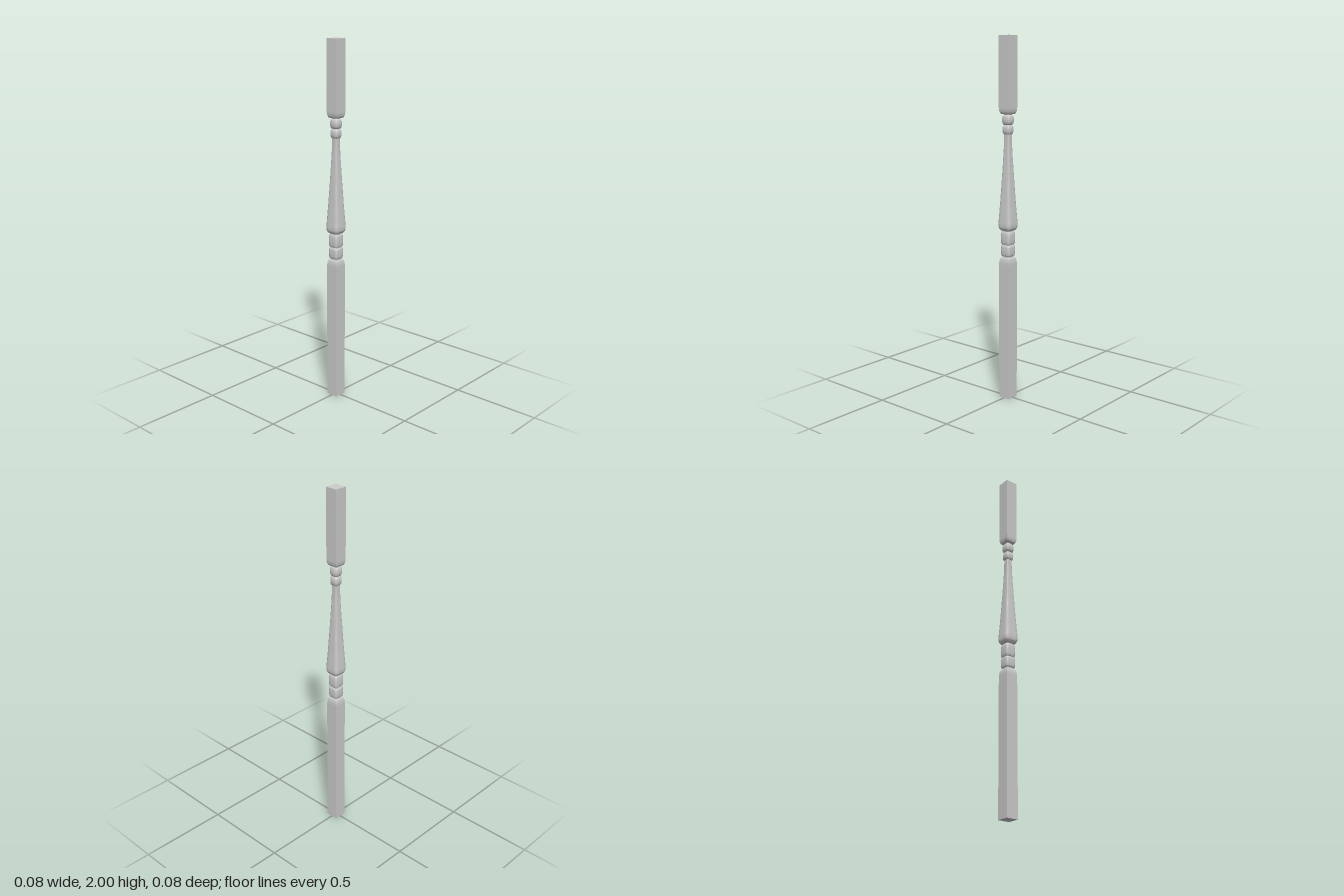
import * as THREE from 'three';
import { toCreasedNormals } from 'three/addons/utils/BufferGeometryUtils.js';

const material = new THREE.MeshStandardMaterial({ color: 0xcccccc });
const SIDES = 48;

// Loft of squircle rings; each row is [y, halfWidth, squareness exponent]
function loft(name, rows) {
  const pos = [], index = [];
  for (const [y, w, n] of rows) {
    for (let i = 0; i < SIDES; i++) {
      const a = (i / SIDES) * Math.PI * 2, c = Math.cos(a), s = Math.sin(a);
      const r = w / Math.pow(Math.abs(c) ** n + Math.abs(s) ** n, 1 / n);
      pos.push(r * c, y, r * s);
    }
  }
  for (let j = 0; j < rows.length - 1; j++) {
    for (let i = 0; i < SIDES; i++) {
      const k = (i + 1) % SIDES, a = j * SIDES + i, b = j * SIDES + k;
      index.push(a, a + SIDES, b, b, a + SIDES, b + SIDES);
    }
  }
  // end caps
  const top = (rows.length - 1) * SIDES;
  for (let i = 1; i < SIDES - 1; i++) {
    index.push(0, i, i + 1, top, top + i + 1, top + i);
  }
  const geo = new THREE.BufferGeometry();
  geo.setAttribute('position', new THREE.Float32BufferAttribute(pos, 3));
  geo.setIndex(index);
  const mesh = new THREE.Mesh(toCreasedNormals(geo, 0.7), material);
  mesh.name = name;
  return mesh;
}

// Smooth curve through a few profile points [y, halfWidth]
function smooth(points, n, steps) {
  const curve = new THREE.CatmullRomCurve3(points.map(([y, w]) => new THREE.Vector3(w, y, 0)), false, 'centripetal');
  return curve.getPoints(steps).map((p) => [p.y, p.x, n]);
}

// Rounded bead swelling from the neck width to its full width
function bead(name, y0, y1, neck, full, n, power) {
  const rows = [];
  for (let i = 0; i <= 14; i++) {
    const t = -Math.cos((i / 14) * Math.PI);
    const w = neck + (full - neck) * Math.pow(1 - Math.abs(t) ** power, 1 / power);
    rows.push([(y0 + y1) / 2 + (t * (y1 - y0)) / 2, w, n]);
  }
  return loft(name, rows);
}

function block(name, y0, y1) {
  const mesh = new THREE.Mesh(new THREE.BoxGeometry(0.07, y1 - y0, 0.07), material);
  mesh.position.y = (y0 + y1) / 2;
  mesh.name = name;
  return mesh;
}

// Curved shoulder from the square block (yBlock) down to the turned neck (yNeck)
function shoulder(name, yBlock, yNeck, wNeck) {
  const rows = [];
  for (let i = 0; i <= 8; i++) {
    const a = (i / 8) * (Math.PI / 2);
    rows.push([yBlock + (yNeck - yBlock) * Math.sin(a), wNeck + (0.035 - wNeck) * Math.cos(a), 60 - 6 * i]);
  }
  if (yNeck < yBlock) rows.reverse();
  return loft(name, rows);
}

export function createModel() {
  const group = new THREE.Group();
  group.name = 'baluster';

  // Square ends and their shoulders
  group.add(block('lowerBlock', 0, 0.77), block('upperBlock', 1.62, 2));
  group.add(shoulder('lowerShoulder', 0.77, 0.808, 0.025), shoulder('upperShoulder', 1.62, 1.588, 0.023));

  // Lower necks and beads
  group.add(loft('lowerNeck', [[0.80, 0.024, 6], [0.96, 0.024, 6]]));
  group.add(bead('lowerBead', 0.815, 0.877, 0.025, 0.031, 6, 2.4));
  group.add(bead('middleBead', 0.879, 0.952, 0.025, 0.031, 6, 2.4));

  // Tapering vase
  group.add(loft('vase', smooth([
    [0.956, 0.024], [0.961, 0.034], [0.975, 0.0405], [0.992, 0.042], [1.02, 0.0405],
    [1.1, 0.035], [1.2, 0.029], [1.3, 0.0235], [1.4, 0.0185], [1.45, 0.0172], [1.485, 0.017],
  ], 5.5, 50)));

  // Upper neck and beads
  group.add(loft('upperNeck', [[1.48, 0.017, 4], [1.60, 0.017, 4]]));
  group.add(bead('upperBead', 1.48, 1.53, 0.017, 0.025, 4, 2));
  group.add(bead('topBead', 1.532, 1.584, 0.018, 0.027, 4, 2));
  return group;
}
